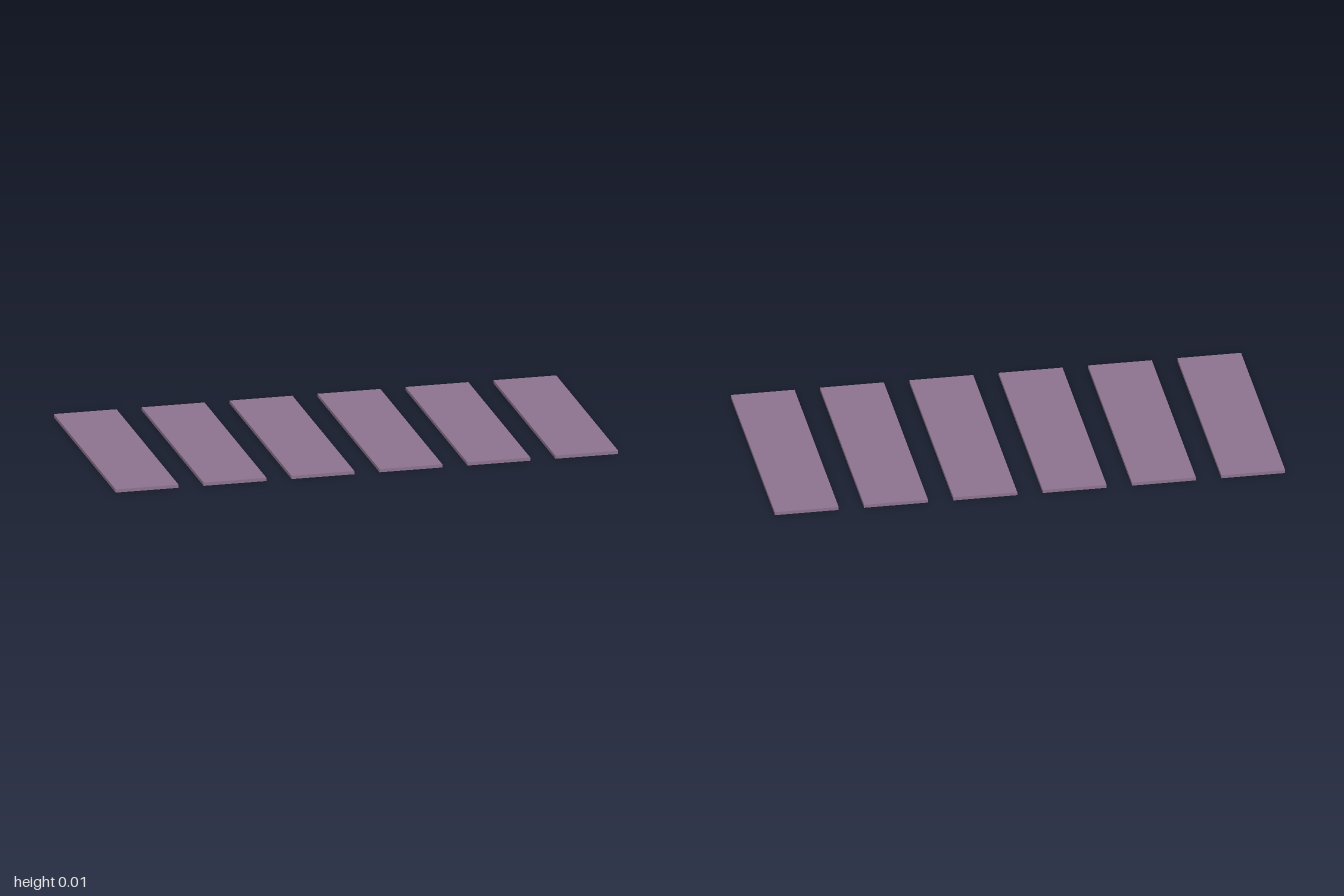
import * as THREE from 'three';

export function createModel() {
  const group = new THREE.Group();
  group.name = 'slatRow';

  const count = 6, width = 0.25, pitch = 0.35, thickness = 0.013, depth = 0.98;
  const geometry = new THREE.BoxGeometry(width, thickness, depth);
  const material = new THREE.MeshStandardMaterial({ color: 0x8e7490 });

  // Evenly spaced flat slats, side by side along x
  for (let i = 0; i < count; i++) {
    const slat = new THREE.Mesh(geometry, material);
    slat.name = `slat${i + 1}`;
    slat.position.set((i - (count - 1) / 2) * pitch, thickness / 2, 0);
    group.add(slat);
  }
  return group;
}
